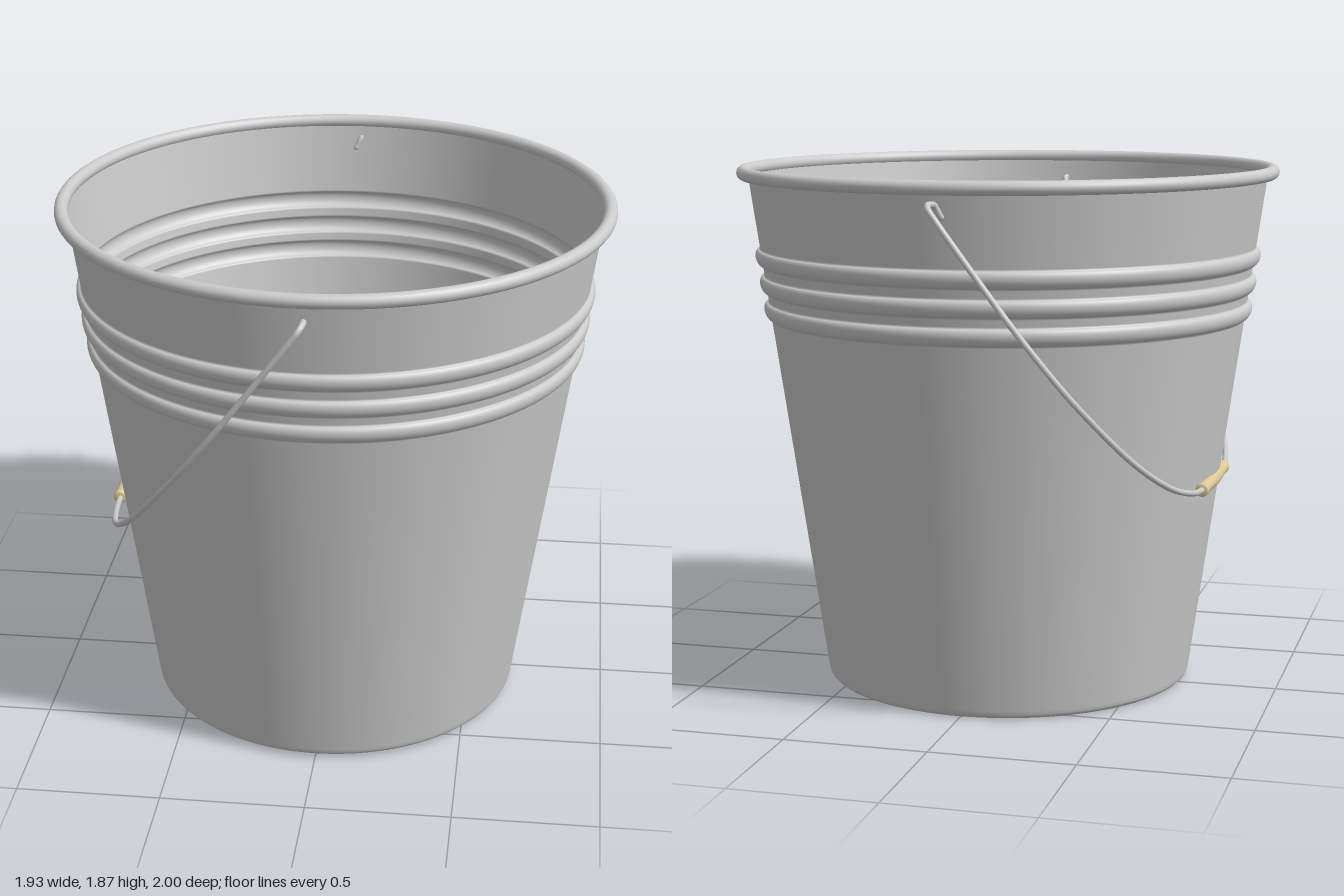
import * as THREE from 'three';

const BASE_R = 0.66, SLOPE = 0.1445;
const wallR = (y) => BASE_R + SLOPE * y;

// Sheet profile: floor, rounded bottom corner, tapered wall with three rolled ribs
function bucketProfile() {
  const pts = [[0, 0], [0.4, 0], [0.638, 0], [0.643, 0], [0.652, 0.003], [0.659, 0.01], [0.662, 0.016], [0.665, 0.03]];
  for (const y of [0.4, 0.9]) pts.push([wallR(y), y]);
  const half = 0.03, bulge = 0.021, steps = 12;
  for (const c of [1.342, 1.436, 1.532]) {
    pts.push([wallR(c - half - 0.006), c - half - 0.006]);
    for (let i = 0; i <= steps; i++) {
      const a = (i / steps) * Math.PI;
      const y = c - half * Math.cos(a);
      pts.push([wallR(y) + bulge * Math.sin(a), y]);
    }
    pts.push([wallR(c + half + 0.006), c + half + 0.006]);
  }
  pts.push([wallR(1.7), 1.7], [wallR(1.83), 1.83]);
  return pts.map(([x, y]) => new THREE.Vector2(x, y));
}

// Point in the slanted handle plane: t runs from pivot (0) to grip (1)
const handlePoint = (t, z, drop = 0) =>
  new THREE.Vector3(-0.758 * t, 1.77 - 1.013 * t - drop - 0.007 * z, z);

export function createModel() {
  const model = new THREE.Group();
  const metal = new THREE.MeshStandardMaterial({ color: 0xcccccc, side: THREE.DoubleSide });
  const wire = new THREE.MeshStandardMaterial({ color: 0xcccccc });
  const wood = new THREE.MeshStandardMaterial({ color: 0xdcc896 });
  const add = (parent, name, geometry, material) => {
    const mesh = new THREE.Mesh(geometry, material);
    mesh.name = name;
    parent.add(mesh);
    return mesh;
  };

  // Bucket, leaning very slightly
  const bucket = new THREE.Group();
  bucket.name = 'bucket';
  bucket.position.set(0, 0.007, 0.04);
  bucket.rotation.x = -0.008;
  model.add(bucket);
  add(bucket, 'bucketWall', new THREE.LatheGeometry(bucketProfile(), 128), metal);
  const rim = add(bucket, 'rolledRim', new THREE.TorusGeometry(0.94, 0.024, 16, 128), metal);
  rim.rotation.x = Math.PI / 2;
  rim.position.y = 1.83;

  // Wire bail: hook inside the wall, out through it, down and around to the grip
  const side = [
    [0.03, 0.882, 0.012], [0.004, 0.895], [0, 0.92], [0, 0.96], [0.012, 0.984], [0.045, 0.99],
    [0.25, 0.99], [0.37, 0.983], [0.46, 0.965], [0.57, 0.93], [0.66, 0.88],
    [0.82, 0.745], [0.93, 0.56], [0.985, 0.36], [1, 0.22],
  ];
  const path = [
    ...side.map(([t, z, d]) => handlePoint(t, z, d)),
    ...side.slice().reverse().map(([t, z, d]) => handlePoint(t, -z, d)),
  ];
  const curve = new THREE.CatmullRomCurve3(path, false, 'centripetal');
  const handle = new THREE.Group();
  handle.name = 'handle';
  model.add(handle);
  add(handle, 'handleWire', new THREE.TubeGeometry(curve, 400, 0.0105, 10), wire);
  for (const end of [path[0], path[path.length - 1]]) {
    add(handle, 'wireEnd', new THREE.SphereGeometry(0.0105, 10, 8), wire).position.copy(end);
  }

  // Turned wooden grip
  const gripProfile = [
    [0.008, -0.232], [0.019, -0.232], [0.023, -0.227], [0.024, -0.215], [0.022, -0.17], [0.026, -0.08], [0.028, 0],
    [0.026, 0.08], [0.022, 0.17], [0.024, 0.215], [0.023, 0.227], [0.019, 0.232], [0.008, 0.232],
  ].map(([x, y]) => new THREE.Vector2(x, y));
  const grip = add(handle, 'grip', new THREE.LatheGeometry(gripProfile, 32), wood);
  grip.rotation.x = Math.PI / 2;
  grip.position.copy(handlePoint(1, 0.015));

  return model;
}
